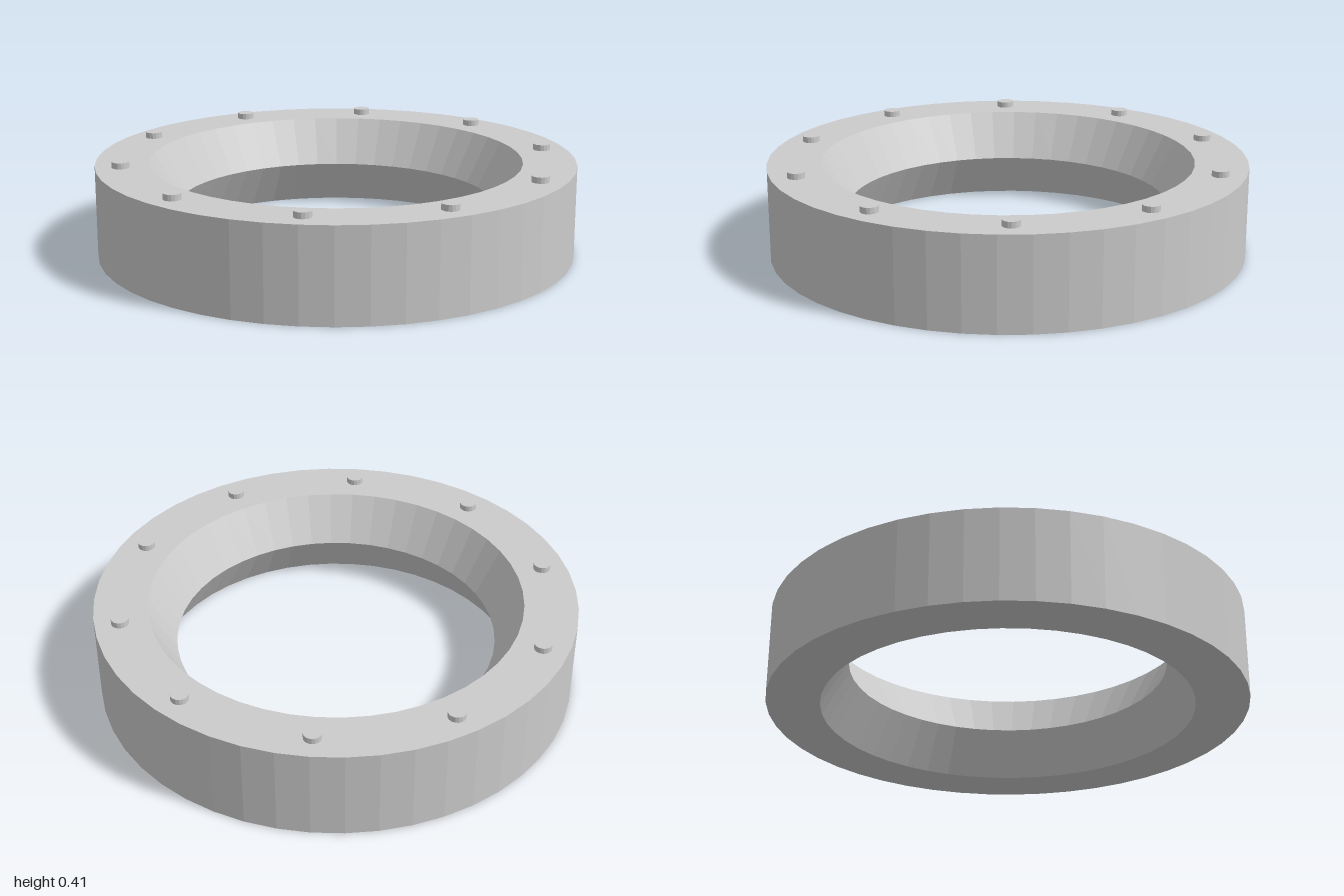
import * as THREE from 'three';

const RING_HEIGHT = 0.385;
const STUD_TOP = 0.41;
const STUD_COUNT = 10;

export function createModel() {
  const model = new THREE.Group();
  model.name = 'studdedRing';
  const material = new THREE.MeshStandardMaterial({ color: 0xcccccc, flatShading: true });

  // Ring: straight outer wall, bore tapering from both faces to a narrow waist
  const profile = [
    [1, 0],
    [1, RING_HEIGHT],
    [0.778, RING_HEIGHT],
    [0.668, RING_HEIGHT / 2],
    [0.778, 0],
    [1, 0],
  ].map(([r, y]) => new THREE.Vector2(r, y));
  const ring = new THREE.Mesh(new THREE.LatheGeometry(profile, 48), material);
  ring.name = 'ring';
  model.add(ring);

  // Studs: evenly spaced round the top face, sunk slightly into it
  const studs = new THREE.Group();
  studs.name = 'studs';
  const sunk = 0.02;
  const height = STUD_TOP - RING_HEIGHT + sunk;
  const studGeometry = new THREE.CylinderGeometry(0.036, 0.036, height, 16);
  for (let i = 0; i < STUD_COUNT; i++) {
    const angle = (i / STUD_COUNT) * Math.PI * 2;
    const stud = new THREE.Mesh(studGeometry, material);
    stud.name = `stud${i + 1}`;
    stud.position.set(Math.sin(angle) * 0.895, STUD_TOP - height / 2, Math.cos(angle) * 0.895);
    stud.rotation.y = angle;
    studs.add(stud);
  }
  model.add(studs);

  return model;
}
